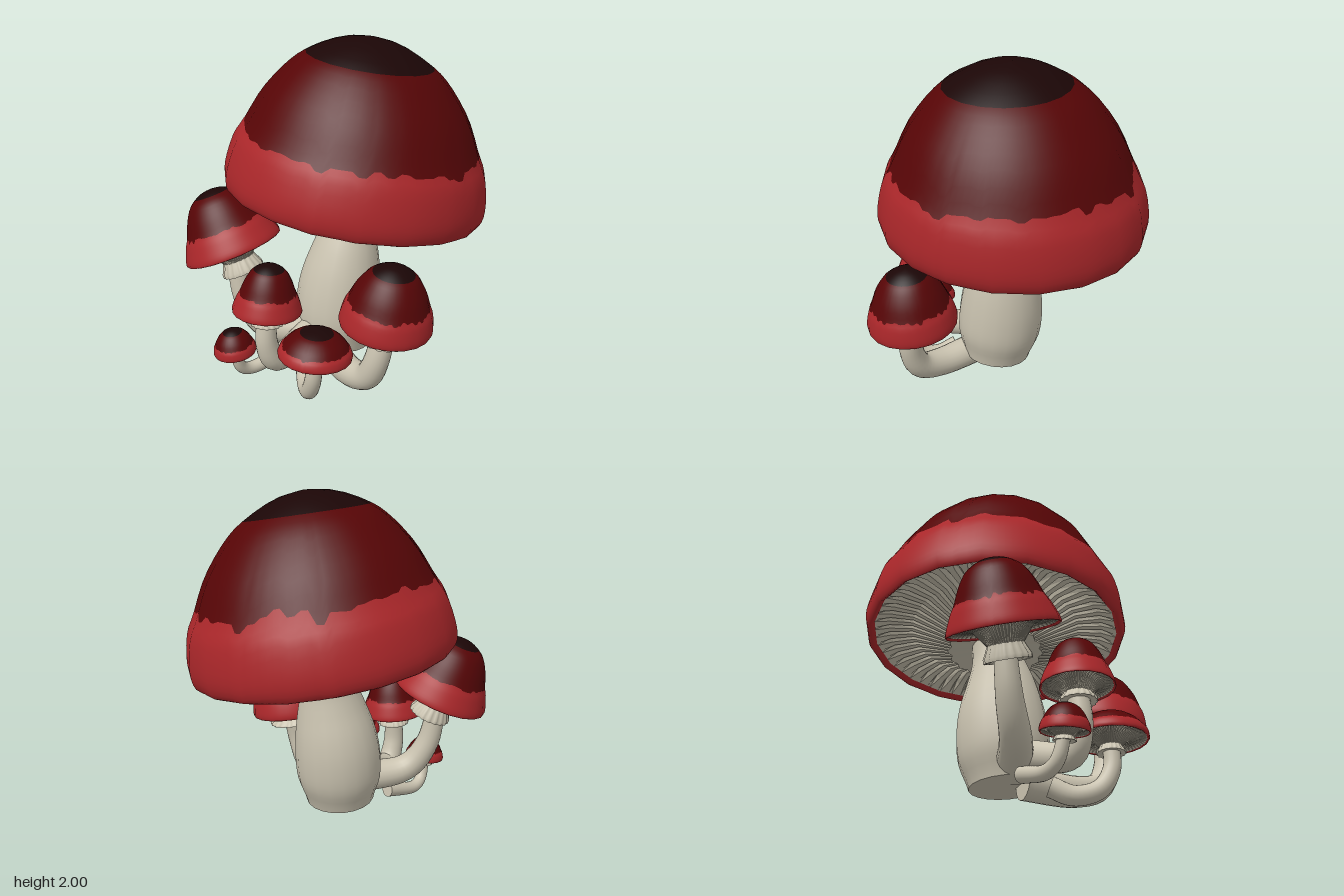
import * as THREE from 'three';

const mat = (name, color, side = THREE.FrontSide) => {
  const m = new THREE.MeshStandardMaterial({ color, side });
  m.name = name;
  return m;
};
const lerp = THREE.MathUtils.lerp;

function seeded(seed) {
  return () => {
    seed = (seed * 16807) % 2147483647;
    return seed / 2147483647;
  };
}

// Closed surface of rows x columns; bands = row counts that get their own material
function grid(rows, cols, point, bands = [rows - 1]) {
  const pos = [], index = [];
  for (let i = 0; i < rows; i++)
    for (let j = 0; j < cols; j++) pos.push(...point(i, j, (j / cols) * Math.PI * 2));
  for (let i = 0; i < rows - 1; i++)
    for (let j = 0; j < cols; j++) {
      const k = (j + 1) % cols;
      const a = i * cols + j, b = i * cols + k, c = a + cols, d = b + cols;
      index.push(a, c, b, b, c, d);
    }
  const g = new THREE.BufferGeometry();
  g.setAttribute('position', new THREE.Float32BufferAttribute(pos, 3));
  g.setIndex(index);
  let start = 0;
  bands.forEach((n, m) => {
    g.addGroup(start, n * cols * 6, m);
    start += n * cols * 6;
  });
  g.computeVertexNormals();
  return g;
}

// Cap outline from the inner lip to the crown, as fractions of radius and height
const capProfile = new THREE.SplineCurve([
  [0.93, 0.03], [0.97, 0], [1, 0.06], [0.995, 0.16], [0.955, 0.3], [0.89, 0.4],
  [0.77, 0.6], [0.6, 0.78], [0.45, 0.88], [0.22, 0.97], [0, 1],
].map((p) => new THREE.Vector2(...p)));

// lean: crown shift in x; skew: colour edges raised towards x and z;
// cone: narrowing at mid height; crownAt: where the crown colour starts
function capGeometry(R, H, { lean = 0, skew = [0, 0], cone = 0, crownAt = 0.8 }, random) {
  const cols = 120, sides = 20, red = 12, dark = 8, crown = 5;
  // Ragged colour edge: short steps with a few drips
  const jag = [];
  let step = 0;
  for (let j = 0; j < cols; j++) {
    if (j % 2 === 0) step = (random() - 0.5) * 0.026 - (random() < 0.12 ? 0.03 : 0);
    jag.push(step + 0.006 * Math.sin(j * 0.37));
  }
  const g = grid(red + dark + crown + 1, cols, (i, j, a) => {
    const shift = skew[0] * Math.cos(a) + skew[1] * Math.sin(a);
    const edge = 0.5 + shift + jag[j], top = crownAt + shift;
    const t = i <= red ? lerp(0, edge, i / red)
      : i <= red + dark ? lerp(edge, top, (i - red) / dark)
      : lerp(top, 1, (i - red - dark) / crown);
    const p = capProfile.getPoint(t);
    const r = p.x * R * (1 - cone * 4 * p.y * (1 - p.y));
    return [r * Math.cos(a) + lean * p.y ** 2, p.y * H, r * Math.sin(a)];
  }, [red, dark, crown]);
  // Slightly faceted outline under smooth normals
  const pos = g.attributes.position, w = (Math.PI * 2) / sides;
  for (let n = 0; n < pos.count; n++) {
    const a = ((n % cols) / cols) * Math.PI * 2;
    const k = Math.cos(w / 2) / Math.cos((a % w) - w / 2);
    pos.setX(n, pos.getX(n) * k);
    pos.setZ(n, pos.getZ(n) * k);
  }
  return g;
}

// Underside pleated into thin radial gills, dropping to the skirt: [radius, height, groove depth]
function gillGeometry(R, H, s, d) {
  const at = (k) => lerp(s, 0.935 * R, k);
  const prof = [[0.78 * s, -0.45 * d, 0.01], [at(0.2), 0.03 * R, 0.03], [at(0.5), 0.09 * R, 0.04],
    [at(0.8), 0.08 * R, 0.03], [at(1), 0.03 * H, 0]];
  const g = grid(prof.length, 220, (i, j, a) => {
    const [r, h, groove] = prof[i];
    return [r * Math.cos(a), h + (j % 4 === 0 ? groove * R : 0), r * Math.sin(a)];
  }).toNonIndexed();
  g.computeVertexNormals();
  return g;
}

// Fluted collar flaring downwards: [radius, height, flute depth]
function skirtGeometry(s, d) {
  const prof = [[0.4 * s, -d + 0.1 * s, 0], [s, -d, 0.04], [s, -d, 0.04], [s, -d * 0.85, 0.04],
    [0.85 * s, -d * 0.6, 0.04], [0.72 * s, -d * 0.3, 0.02]];
  return grid(prof.length, 72, (i, j, a) => {
    const [r, h, flute] = prof[i];
    const k = r * (1 + flute * Math.cos(a * 18));
    return [k * Math.cos(a), h, k * Math.sin(a)];
  });
}

// Stem swept along a path from base to top, with a closed base
function stemGeometry(path, radii) {
  const steps = 24;
  const curve = new THREE.CatmullRomCurve3(path.map((p) => new THREE.Vector3(...p)));
  const frames = curve.computeFrenetFrames(steps);
  const size = new THREE.SplineCurve(radii.map((r, i) => new THREE.Vector2(i, r)));
  return grid(steps + 3, 20, (i, j, a) => {
    const k = Math.max(0, i - 2), u = k / steps;
    const r = i === 0 ? 0 : size.getPoint(u).y;
    return curve.getPointAt(u)
      .addScaledVector(frames.normals[k], r * Math.cos(a))
      .addScaledVector(frames.binormals[k], -r * Math.sin(a)).toArray();
  });
}

export function createModel() {
  const capMats = [mat('rim red', 0xab272a), mat('deep red', 0x560506), mat('crown black', 0x1b0606)];
  const pale = mat('pale flesh', 0xcac3b0, THREE.DoubleSide);
  const random = seeded(101);
  const model = new THREE.Group();
  model.name = 'mushroomCluster';

  const add = (parent, name, geometry, material) => {
    const mesh = new THREE.Mesh(geometry, material);
    mesh.name = name;
    parent.add(mesh);
  };

  // rim: centre of the cap rim; tilt: cap slope to x and z; cap: radius, height;
  // skirt: radius, drop; path: stem points from the base up to the rim
  function mushroom(name, { rim, tilt, cap: [R, H], skirt: [s, d], path, radii, ...capShape }) {
    const group = new THREE.Group(), head = new THREE.Group();
    group.name = name;
    head.name = 'head';
    head.position.set(...rim);
    const axis = new THREE.Vector3(tilt[0], 1, tilt[1]).normalize();
    head.quaternion.setFromUnitVectors(new THREE.Vector3(0, 1, 0), axis);
    add(head, 'cap', capGeometry(R, H, capShape, random), capMats);
    add(head, 'gills', gillGeometry(R, H, s, d), pale);
    add(head, 'skirt', skirtGeometry(s, d), pale);
    add(group, 'stem', stemGeometry([...path, rim], radii), pale);
    group.add(head);
    model.add(group);
  }

  mushroom('mainMushroom', {
    rim: [0.08, 1.055, -0.04], tilt: [0.133, 0.087], cap: [0.77, 0.945], skirt: [0.27, 0.07],
    lean: -0.05, skew: [0.02, -0.016], crownAt: 0.79,
    path: [[-0.05, 0.15, -0.04], [-0.02, 0.45, -0.05], [0.02, 0.75, -0.035]],
    radii: [0.205, 0.25, 0.255, 0.236, 0.198, 0.155, 0.14],
  });
  mushroom('frontMushroom', {
    rim: [-0.145, 0.53, 0.545], tilt: [0.05, 0.14], cap: [0.262, 0.365], skirt: [0.15, 0.075], cone: 0.04,
    path: [[-0.15, 0.16, 0], [-0.2, 0.14, 0.3], [-0.2, 0.19, 0.46], [-0.19, 0.32, 0.53]],
    radii: [0.095, 0.065],
  });
  mushroom('backMushroom', {
    rim: [-0.555, 0.78, -0.365], tilt: [-0.22, -0.33], cap: [0.3, 0.375], skirt: [0.12, 0.15],
    cone: 0.13, crownAt: 0.84,
    path: [[-0.1, 0.25, -0.03], [-0.43, 0.29, -0.22], [-0.52, 0.45, -0.31]],
    radii: [0.1, 0.055],
  });
  mushroom('sideMushroom', {
    rim: [-0.59, 0.55, 0.05], tilt: [0.07, 0.03], cap: [0.2, 0.28], skirt: [0.095, 0.075], cone: 0.12,
    path: [[-0.25, 0.27, -0.03], [-0.54, 0.22, 0.04], [-0.6, 0.34, 0.05]],
    radii: [0.085, 0.055],
  });
  mushroom('lowMushroom', {
    rim: [-0.47, 0.355, 0.34], tilt: [0.08, 0.04], cap: [0.207, 0.157], skirt: [0.075, 0.07],
    path: [[-0.34, 0.1, 0.04], [-0.4, 0.055, 0.14], [-0.46, 0.09, 0.26], [-0.48, 0.2, 0.33]],
    radii: [0.055, 0.045],
  });
  mushroom('tinyMushroom', {
    rim: [-0.71, 0.25, -0.125], tilt: [-0.1, 0], cap: [0.123, 0.148], skirt: [0.055, 0.04],
    path: [[-0.36, 0.13, -0.14], [-0.6, 0.09, -0.15], [-0.67, 0.13, -0.14]],
    radii: [0.044, 0.033],
  });
  return model;
}
